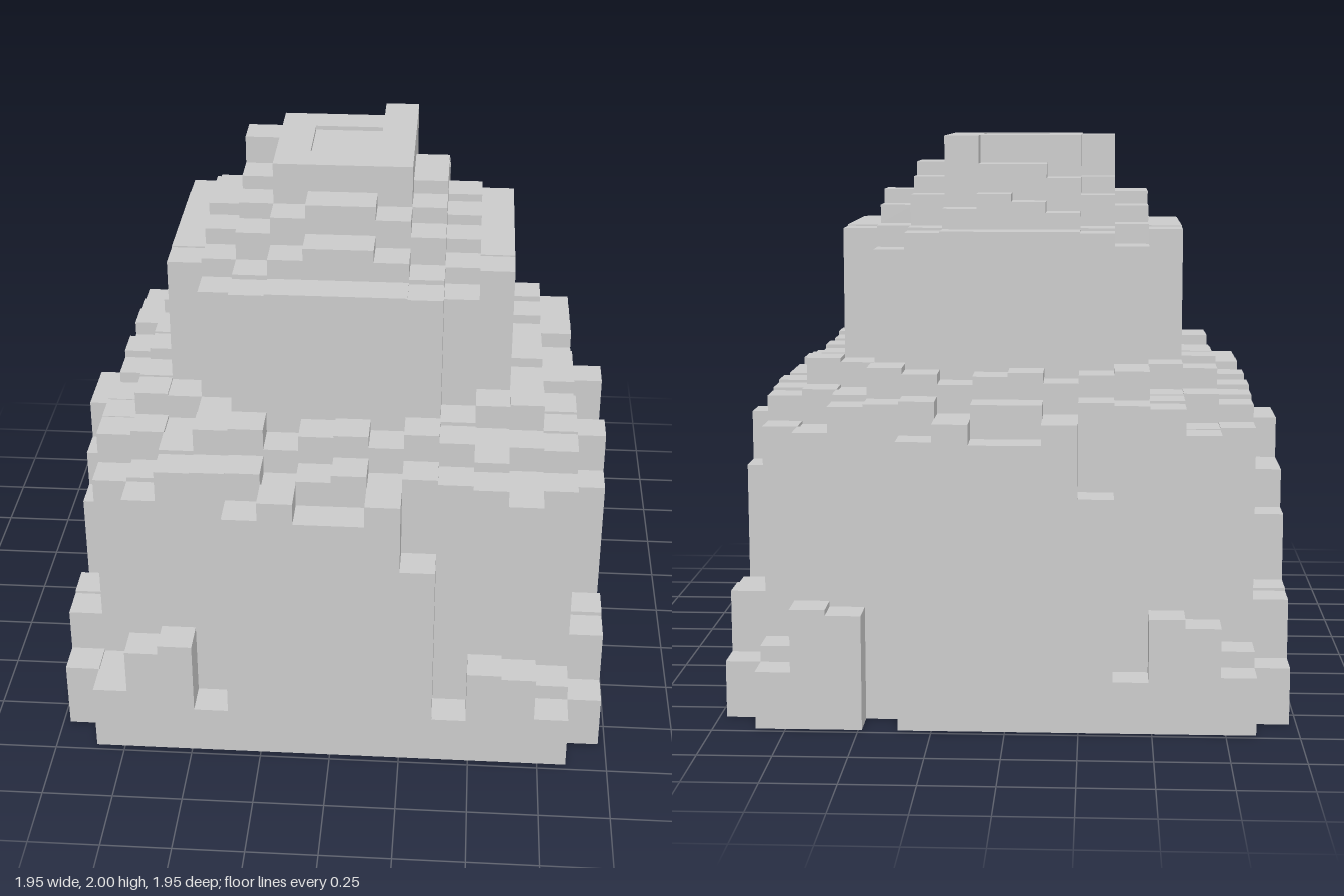
import * as THREE from 'three';

const N = 16, CELL = 1.95 / N;

// Skirt heights along each side (14 cells, corners stay empty)
const skirt = {
  front: [0.25, 0.42, 0.455, 0.18, 1.0, 1.07, 0.99, 0.99, 1.07, 0.81, 0.18, 0.385, 0.37, 0.2], // -x to +x
  back: [0.2, 0.37, 0.4, 0.18, 0.81, 1.06, 0.99, 0.99, 1.06, 1.0, 0, 0.4, 0.42, 0.2],          // -x to +x
  left: [0.2, 0.42, 0.41, 0.18, 0.8, 0.98, 0.61, 0.61, 0.95, 0.8, 0.18, 0.415, 0.4, 0.2],      // -z to +z
  right: [0.2, 0.41, 0.42, 0.66, 0.8, 0.8, 0.95, 0.95, 0.8, 0.66, 0.18, 0.42, 0.41, 0.25],     // -z to +z
};

// Height of each inner ring, from the middle of a side to its corner
const rings = [
  [1.985],
  [2, 2],
  [1.9, 1.85, 1.79],
  [1.785, 1.74, 1.68, 1.61],
  [1.675, 1.675, 1.67, 1.2, 1.11],
  [1.2, 1.15, 1.2, 1.2, 1.12, 1.01],
  [1.1, 1.05, 1.11, 1.1, 1.09, 1.0, 0.25],
];
const bumps = { '5,7': 2, '9,5': 2 };

const offset = (i) => Math.abs(i - 7.5) - 0.5;
const ringOf = (i, j) => Math.max(offset(i), offset(j));

function height(i, j) {
  if (i < 0 || j < 0 || i >= N || j >= N) return 0;
  const r = ringOf(i, j), d = Math.min(offset(i), offset(j));
  if (r === 7) {
    if (d === 7) return 0;
    if (j === N - 1) return skirt.front[i - 1];
    if (j === 0) return skirt.back[i - 1];
    return i === N - 1 ? skirt.left[j - 1] : skirt.right[j - 1];
  }
  const bump = bumps[`${i},${j}`];
  if (bump) return bump;
  // slight unevenness on the stepped ledges
  const rough = r === 5 || r === 6 || r === 3 ? (((i * 7 + j * 13 + i * j * 3) % 5) - 2) * 0.007 : 0;
  return rings[r][d] + rough;
}

// Stepped surface of all columns whose ring lies between two limits
function tier(name, minRing, maxRing, material) {
  const pos = [];
  const quad = (a, b, c, d) => pos.push(...a, ...b, ...c, ...a, ...c, ...d);
  for (let i = 0; i < N; i++) for (let j = 0; j < N; j++) {
    const r = ringOf(i, j), h = height(i, j);
    if (r < minRing || r > maxRing || h <= 0) continue;
    const x0 = (i - N / 2) * CELL, x1 = x0 + CELL;
    const z0 = (j - N / 2) * CELL, z1 = z0 + CELL;
    quad([x0, h, z1], [x1, h, z1], [x1, h, z0], [x0, h, z0]);
    quad([x0, 0, z0], [x1, 0, z0], [x1, 0, z1], [x0, 0, z1]);
    // walls reach down to the neighbouring column
    const sides = [
      [0, 1, x0, z1, x1, z1], [0, -1, x1, z0, x0, z0],
      [1, 0, x1, z1, x1, z0], [-1, 0, x0, z0, x0, z1],
    ];
    for (const [di, dj, ax, az, bx, bz] of sides) {
      const low = height(i + di, j + dj);
      if (low < h) quad([ax, low, az], [bx, low, bz], [bx, h, bz], [ax, h, az]);
    }
  }
  const geometry = new THREE.BufferGeometry();
  geometry.setAttribute('position', new THREE.Float32BufferAttribute(pos, 3));
  geometry.computeVertexNormals();
  const mesh = new THREE.Mesh(geometry, material);
  mesh.name = name;
  return mesh;
}

export function createModel() {
  const group = new THREE.Group();
  group.name = 'steppedMound';
  const material = new THREE.MeshStandardMaterial({ color: 0xcccccc, flatShading: true });
  group.add(
    tier('outerSkirt', 7, 7, material),
    tier('lowerTier', 5, 6, material),
    tier('upperTier', 3, 4, material),
    tier('crown', 0, 2, material),
  );
  return group;
}
